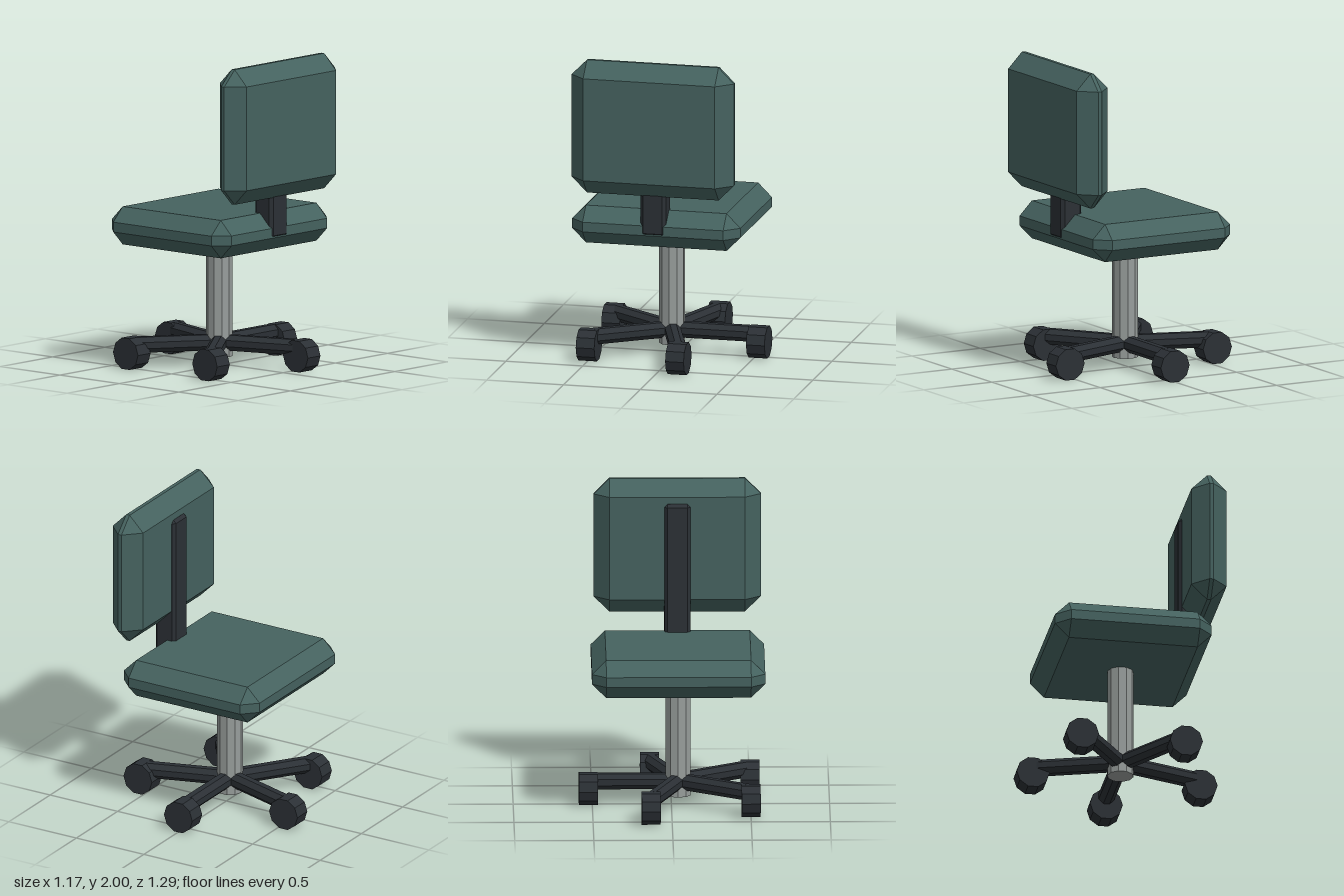
import * as THREE from 'three';
import { ConvexGeometry } from 'three/addons/geometries/ConvexGeometry.js';

const material = (color) => new THREE.MeshStandardMaterial({ color, flatShading: true });

// Box with every edge chamfered by c; sizes are the full outer extents
function chamferBox(w, h, d, c) {
  const a = w / 2, b = h / 2, e = d / 2;
  const points = [];
  for (const x of [-1, 1]) for (const y of [-1, 1]) for (const z of [-1, 1]) {
    points.push(
      new THREE.Vector3(x * a, y * (b - c), z * (e - c)),
      new THREE.Vector3(x * (a - c), y * b, z * (e - c)),
      new THREE.Vector3(x * (a - c), y * (b - c), z * e)
    );
  }
  return new ConvexGeometry(points);
}

export function createModel() {
  const chair = new THREE.Group();
  chair.name = 'officeChair';
  const fabric = material(0x45625f);
  const plastic = material(0x2b3035);
  const metal = material(0x979d9b);

  const centreX = -0.042;
  const add = (name, geometry, mat, x, y, z, parent = chair) => {
    const mesh = new THREE.Mesh(geometry, mat);
    mesh.name = name;
    mesh.position.set(x, y, z);
    parent.add(mesh);
    return mesh;
  };

  // Cushions
  add('seat', chamferBox(1.096, 0.243, 1.005, 0.09), fabric, centreX, 0.907, 0.002);
  add('backrest', chamferBox(1.057, 0.865, 0.225, 0.1), fabric, centreX, 1.5675, 0.493);

  // Bar joining seat and backrest
  add('backSupport', chamferBox(0.165, 0.985, 0.15, 0.02), plastic, centreX, 1.363, 0.435);

  // Central column
  add('post', new THREE.CylinderGeometry(0.083, 0.083, 0.8, 10), metal, centreX, 0.46, 0);

  // Five-legged base, all casters rolling the same way
  const base = new THREE.Group();
  base.name = 'base';
  base.position.x = centreX;
  chair.add(base);
  const legLength = 0.565, casterRadius = 0.567;
  const legGeometry = chamferBox(legLength, 0.1, 0.1, 0.03).translate(legLength / 2, 0, 0);
  const casterGeometry = new THREE.CylinderGeometry(0.105, 0.105, 0.12, 10).rotateZ(Math.PI / 2);
  for (let i = 0; i < 5; i++) {
    const angle = (i / 5) * Math.PI * 2;
    const leg = add('leg' + (i + 1), legGeometry, plastic, 0, 0.15, 0, base);
    leg.rotation.y = -angle;
    add('caster' + (i + 1), casterGeometry, plastic,
      Math.cos(angle) * casterRadius, 0.1, Math.sin(angle) * casterRadius, base);
  }
  return chair;
}
